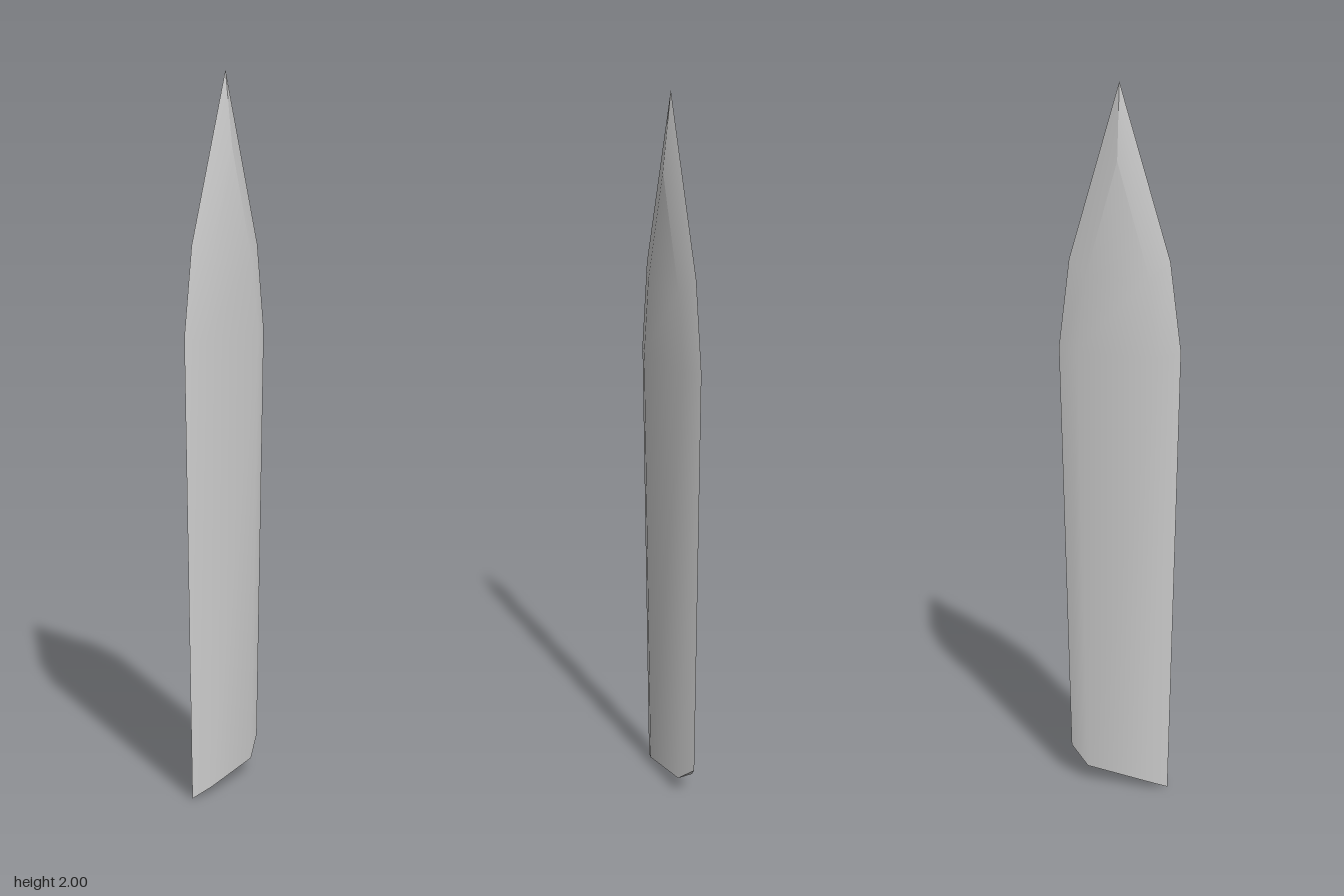
import * as THREE from 'three';
import { toCreasedNormals } from 'three/addons/utils/BufferGeometryUtils.js';

const HALF = 0.023; // half thickness of the flat faces

// Rows from base to tip: [edge -x], [flat -x], [flat +x], [edge +x], each as x, y
const mirrorRow = (ex, ey, fx, fy) => [[-ex, ey], [-fx, fy], [fx, fy], [ex, ey]];
const ROWS = [
  [[-0.146, 0], [-0.09, 0.022], [0.09, 0.05], [0.146, 0.1]], // slanted base
  mirrorRow(0.171, 1.3, 0.115, 1.29),
  mirrorRow(0.14, 1.54, 0.087, 1.5),
  mirrorRow(0, 2, 0, 1.8), // point
];

// Six-sided ring: sharp edges on z = 0, flats at front and back
function ring([a, b, c, d]) {
  const v = ([x, y], z) => new THREE.Vector3(x, y, z);
  return [v(a, 0), v(b, HALF), v(c, HALF), v(d, 0), v(c, -HALF), v(b, -HALF)];
}

function bladeGeometry() {
  const rings = ROWS.map(ring);
  const pos = [];
  const tri = (a, b, c) => {
    if (a.equals(b) || b.equals(c) || c.equals(a)) return;
    for (const p of [a, b, c]) pos.push(p.x, p.y, p.z);
  };
  // Flats and bevels
  for (let r = 0; r < rings.length - 1; r++) {
    for (let i = 0; i < 6; i++) {
      const j = (i + 1) % 6;
      const lo = rings[r], hi = rings[r + 1];
      tri(lo[i], lo[j], hi[j]);
      tri(lo[i], hi[j], hi[i]);
    }
  }
  // Base cap
  const [a, b, c, d, e, f] = rings[0];
  tri(a, f, b);
  tri(b, f, e);
  tri(b, e, c);
  tri(c, e, d);
  const geo = new THREE.BufferGeometry();
  geo.setAttribute('position', new THREE.Float32BufferAttribute(pos, 3));
  return toCreasedNormals(geo, THREE.MathUtils.degToRad(32));
}

export function createModel() {
  const group = new THREE.Group();
  group.name = 'bladeModel';
  const blade = new THREE.Mesh(
    bladeGeometry(),
    new THREE.MeshStandardMaterial({ color: 0xcccccc })
  );
  blade.name = 'blade';
  group.add(blade);
  return group;
}
